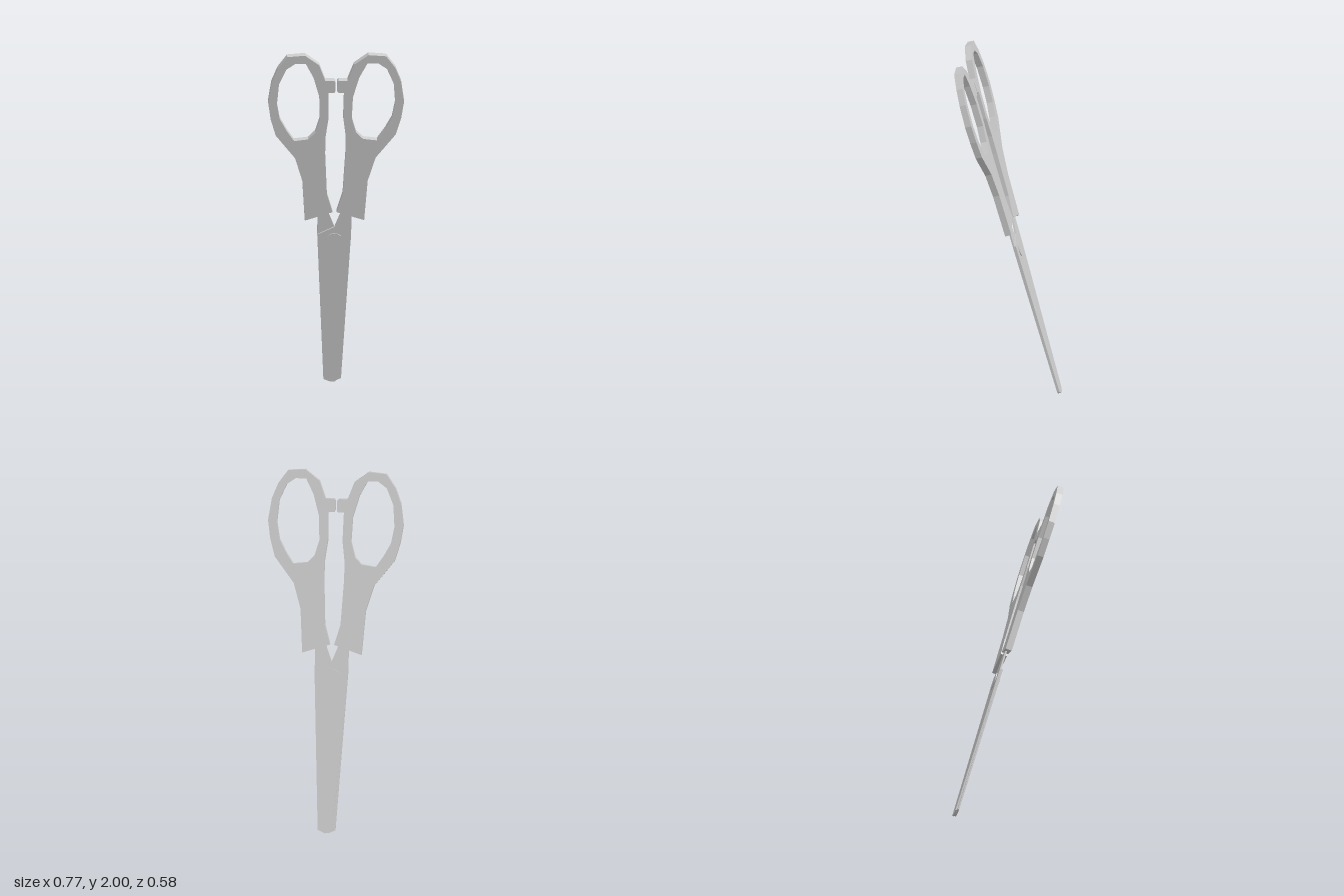
import * as THREE from 'three';

const TILT = 0.27;      // lean of the whole pair of scissors
const PIVOT_Y = 1.018;  // height at which the middle plane crosses z = 0
const material = new THREE.MeshStandardMaterial({ color: 0xcccccc, flatShading: true });

// Turn upright heights into distances along the leaning plane
const toPlane = (pts) =>
  pts.map(([x, y]) => new THREE.Vector2(x, (y - PIVOT_Y) / Math.cos(TILT)));

// Flat plate between z0 and z0 + depth
function plate(name, outline, depth, z0, hole) {
  const shape = new THREE.Shape(toPlane(outline));
  if (hole) shape.holes.push(new THREE.Path(toPlane(hole)));
  const geometry = new THREE.ExtrudeGeometry(shape, { depth, bevelEnabled: false });
  geometry.translate(0, 0, z0);
  const mesh = new THREE.Mesh(geometry, material);
  mesh.name = name;
  return mesh;
}

const handleOutline = [
  [0.012, 1.04], [0.168, 0.99], [0.185, 1.23], [0.228, 1.37], [0.34, 1.51],
  [0.37, 1.61], [0.385, 1.71], [0.367, 1.83], [0.333, 1.915], [0.28, 1.987],
  [0.18, 1.995], [0.1, 1.937], [0.063, 1.84],
  // stop nub
  [0.012, 1.84], [0.005, 1.832], [0.005, 1.775], [0.012, 1.767], [0.045, 1.767],
  // inner edge of the grip
  [0.042, 1.61], [0.057, 1.5], [0.058, 1.4], [0.045, 1.15],
];

const fingerHole = [
  [0.175, 1.945], [0.235, 1.945], [0.285, 1.91], [0.325, 1.82], [0.335, 1.7],
  [0.318, 1.61], [0.28, 1.54], [0.235, 1.475], [0.155, 1.485], [0.115, 1.525],
  [0.09, 1.61], [0.095, 1.74], [0.13, 1.86],
];

const bladeOutline = [
  [-0.096, 0.9], [-0.05, 0.02], [-0.01, 0.003], [0.015, 0.005], [0.032, 0.02],
  [0.084, 0.7], [0.096, 0.9], [0.096, 1.1], [0.05, 1.1], [0.03, 1.02], [0, 0.945],
];

// One half: a handle with its blade lying in front of the middle plane
function makeHalf(name) {
  const half = new THREE.Group();
  half.name = name;
  half.add(plate('handle', handleOutline, 0.0365, -0.01825, fingerHole));
  half.add(plate('blade', bladeOutline, 0.009, 0));
  return half;
}

export function createModel() {
  const model = new THREE.Group();
  model.name = 'scissors';

  // The second half is the first turned around the long axis
  const frontHalf = makeHalf('frontHalf');
  const backHalf = makeHalf('backHalf');
  backHalf.rotation.y = Math.PI;
  model.add(frontHalf, backHalf);

  // Pivot pin through both blades
  const pin = new THREE.Mesh(new THREE.CylinderGeometry(0.05, 0.05, 0.028, 24), material);
  pin.name = 'pivotPin';
  pin.rotation.x = Math.PI / 2;
  pin.position.y = (0.86 - PIVOT_Y) / Math.cos(TILT);
  model.add(pin);

  model.rotation.x = TILT;
  model.position.y = PIVOT_Y;

  const root = new THREE.Group();
  root.name = 'leaningScissors';
  root.add(model);
  return root;
}
